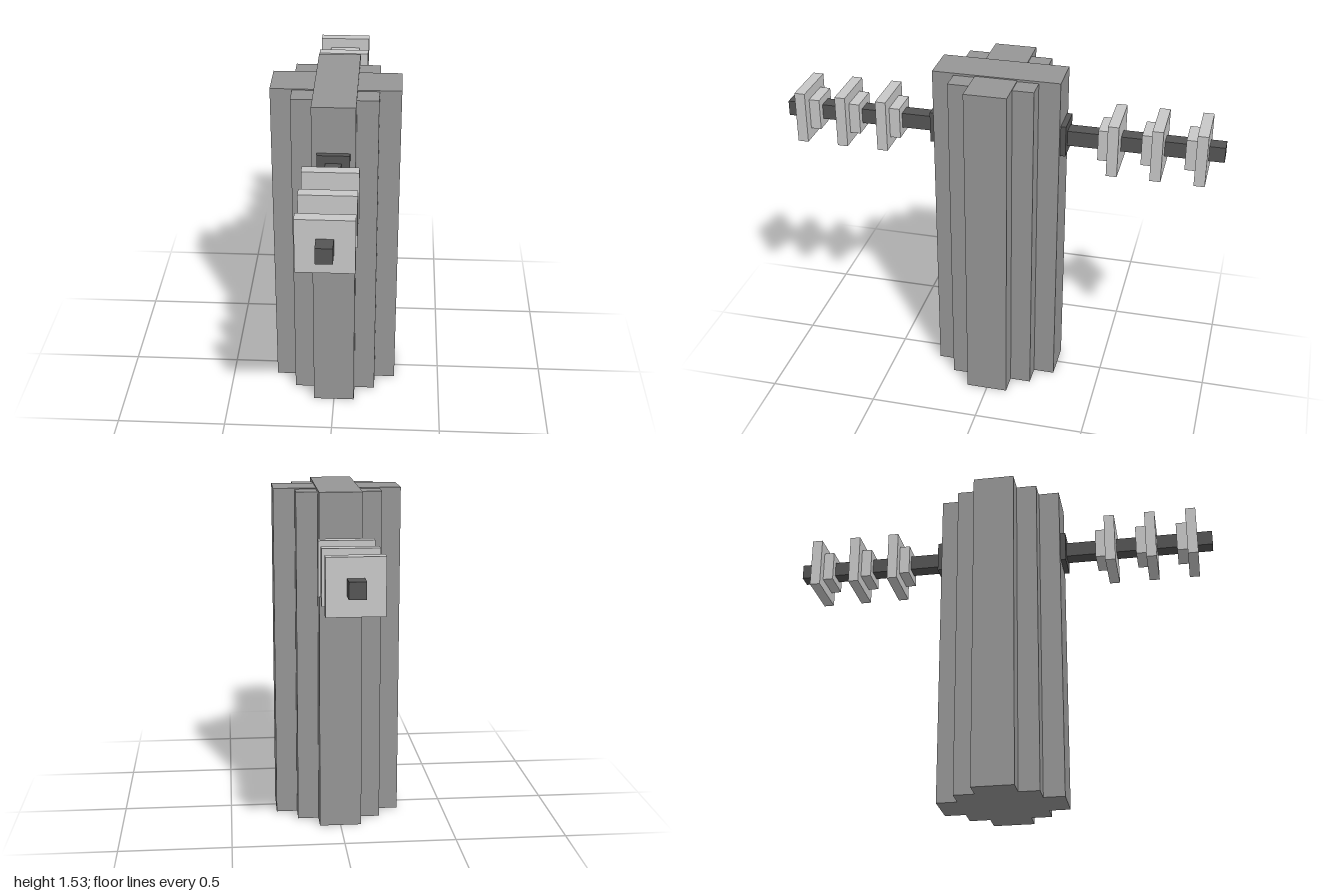
import * as THREE from 'three';

export function createModel() {
  const model = new THREE.Group();
  model.name = 'insulatorPost';

  const concrete = new THREE.MeshStandardMaterial({ color: 0x969696 });
  concrete.name = 'concrete grey';
  const ceramic = new THREE.MeshStandardMaterial({ color: 0xc8c8c8 });
  ceramic.name = 'ceramic light grey';
  const iron = new THREE.MeshStandardMaterial({ color: 0x555555 });
  iron.name = 'iron dark grey';

  // Box placed by its centre
  function box(parent, name, material, w, h, d, y, z = 0) {
    const mesh = new THREE.Mesh(new THREE.BoxGeometry(w, h, d), material);
    mesh.name = name;
    mesh.position.set(0, y, z);
    parent.add(mesh);
  }

  // Stepped round post: three crossed blocks with slightly different tops
  const post = new THREE.Group();
  post.name = 'post';
  model.add(post);
  for (const [name, w, h, d] of [
    ['postDeepBlock', 0.19, 1.535, 0.572],
    ['postWideBlock', 0.572, 1.53, 0.19],
    ['postCore', 0.38, 1.525, 0.38],
  ]) box(post, name, concrete, w, h, d, h / 2);

  // Front and back arms: wall plate, rod and three stepped insulators
  const armY = 1.25;
  for (const [name, turn] of [['frontArm', 0], ['backArm', Math.PI]]) {
    const arm = new THREE.Group();
    arm.name = name;
    arm.rotation.y = turn;
    model.add(arm);
    box(arm, 'wallPlate', iron, 0.143, 0.143, 0.024, armY, 0.298);
    box(arm, 'rod', iron, 0.07, 0.07, 0.714, armY, 0.643);
    for (let i = 0; i < 3; i++) {
      const z = 0.5 + i * 0.191;
      box(arm, 'insulatorCollar', ceramic, 0.143, 0.143, 0.048, armY, z - 0.024);
      box(arm, 'insulatorDisc', ceramic, 0.238, 0.238, 0.048, armY, z + 0.024);
    }
  }
  return model;
}
